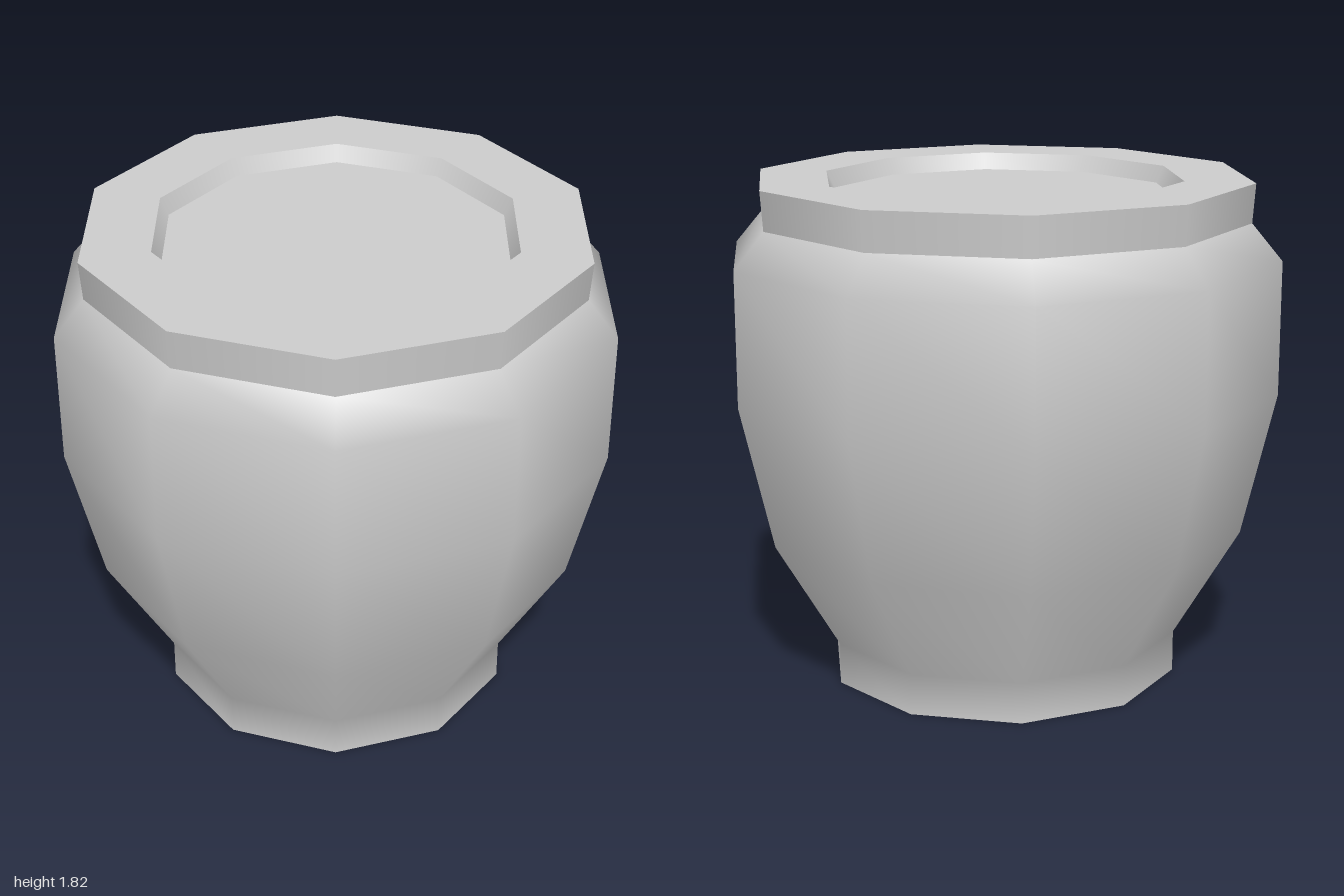
import * as THREE from 'three';

const SIDES = 10;

export function createModel() {
  const group = new THREE.Group();
  const material = new THREE.MeshStandardMaterial({ color: 0xcccccc, side: THREE.DoubleSide });

  // Ten-sided surface of revolution with a corner on the x axis
  function addLathe(name, profile) {
    const points = profile.map(([r, y]) => new THREE.Vector2(r, y));
    const mesh = new THREE.Mesh(new THREE.LatheGeometry(points, SIDES, Math.PI / 2), material);
    mesh.name = name;
    group.add(mesh);
  }

  // Smooth pot wall, open underneath
  addLathe('body', [[0.645, 0], [0.645, 0.15], [0.88, 0.55], [1, 1.07], [1, 1.55], [0.89, 1.68]]);

  // Upright band, flat top ring and the sloped wall of the recess
  addLathe('rimBand', [[0.89, 1.68], [0.9, 1.82]]);
  addLathe('rimTop', [[0.9, 1.82], [0.65, 1.82]]);
  addLathe('recessWall', [[0.65, 1.82], [0.62, 1.76]]);

  // Flat floor of the recess
  const floor = new THREE.Mesh(new THREE.CircleGeometry(0.62, SIDES), material);
  floor.name = 'recessFloor';
  floor.rotation.x = -Math.PI / 2;
  floor.position.y = 1.76;
  group.add(floor);

  return group;
}
